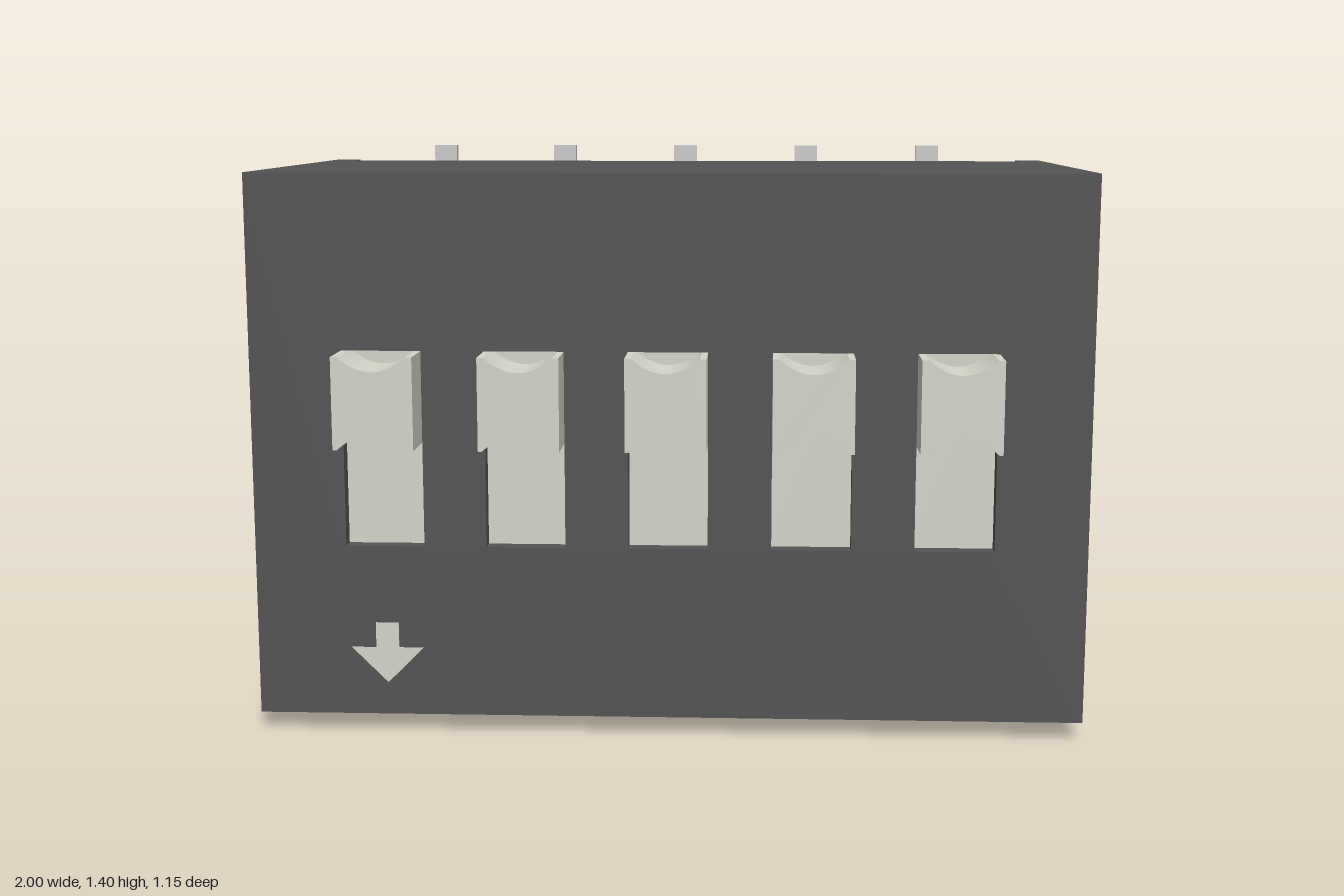
import * as THREE from 'three';

const mat = (color) => new THREE.MeshStandardMaterial({ color });

export function createModel() {
  const model = new THREE.Group();
  const dark = mat(0x545454), cream = mat(0xd6d5ca), metal = mat(0xcccccc);
  const columns = [-0.683, -0.342, 0, 0.342, 0.683];
  const yMin = 0.045, yMax = 1.36, yMid = 0.7025;
  const slotHalf = 0.095, slotLow = 0.465, slotHigh = 0.94;
  const zBack = -0.495, zFront = 0.458, zFloor = 0.415;

  const add = (name, geometry, material, x = 0, y = 0, z = 0, parent = model) => {
    const mesh = new THREE.Mesh(geometry, material);
    mesh.name = name;
    mesh.position.set(x, y, z);
    parent.add(mesh);
    return mesh;
  };
  const box = (w, h, d) => new THREE.BoxGeometry(w, h, d);
  const extrude = (shape, depth) =>
    new THREE.ExtrudeGeometry(shape, { depth, bevelEnabled: false, curveSegments: 20 });
  const polygon = (points) => new THREE.Shape(points.map(([x, y]) => new THREE.Vector2(x, y)));
  const rectangle = (x0, y0, x1, y1) => [[x0, y0], [x1, y0], [x1, y1], [x0, y1]];

  // Housing: solid core with a front plate pierced by the switch slots
  const housing = new THREE.Group();
  housing.name = 'housing';
  model.add(housing);
  add('core', box(2, yMax - yMin, zFloor - zBack), dark, 0, yMid, (zFloor + zBack) / 2, housing);
  const plate = polygon(rectangle(-1, yMin, 1, yMax));
  for (const x of columns) {
    plate.holes.push(polygon(rectangle(x - slotHalf, slotLow, x + slotHalf, slotHigh)));
  }
  add('frontPlate', extrude(plate, zFront - zFloor), dark, 0, 0, zFloor, housing);

  // Stand-off feet on the four back corners
  for (const x of [-0.9665, 0.9665]) {
    for (const y of [yMin + 0.1, yMax - 0.1]) {
      add('foot', box(0.067, 0.2, 0.08), dark, x, y, -0.525, housing);
    }
  }

  // Slider knob outline, scooped at top and bottom
  const knob = new THREE.Shape();
  knob.moveTo(-slotHalf, 0.72);
  knob.lineTo(-0.086, 0.72);
  knob.quadraticCurveTo(0, 0.796, 0.086, 0.72);
  knob.lineTo(slotHalf, 0.72);
  knob.lineTo(slotHalf, slotHigh);
  knob.lineTo(0.08, slotHigh);
  knob.quadraticCurveTo(0, 0.87, -0.08, slotHigh);
  knob.lineTo(-slotHalf, slotHigh);
  const knobGeometry = extrude(knob, 0.578 - zFloor);
  const floorGeometry = box(2 * slotHalf, slotHigh - slotLow, 0.01);

  // Pin side profile: out of the back, round a bend and down
  const profile = new THREE.Shape();
  profile.moveTo(0.45, 0.2);
  profile.lineTo(0.542, 0.2);
  profile.quadraticCurveTo(0.577, 0.2, 0.577, 0.165);
  profile.lineTo(0.577, 0);
  profile.lineTo(0.553, 0);
  profile.lineTo(0.553, 0.163);
  profile.quadraticCurveTo(0.553, 0.176, 0.54, 0.176);
  profile.lineTo(0.45, 0.176);
  const pinGeometry = extrude(profile, 0.063);
  pinGeometry.translate(0, 0, -0.0315);
  pinGeometry.rotateY(Math.PI / 2);

  // One slider and a pair of pins per column
  for (const x of columns) {
    const slider = new THREE.Group();
    slider.name = 'slider';
    model.add(slider);
    add('slotFloor', floorGeometry, cream, x, (slotLow + slotHigh) / 2, zFloor, slider);
    add('knob', knobGeometry, cream, x, 0, zFloor, slider);
    add('lowerPin', pinGeometry, metal, x);
    add('upperPin', pinGeometry, metal, x, 1.402).rotation.z = Math.PI;
  }

  // Direction arrow below the first slider
  const arrow = polygon([
    [0, 0.125], [0.088, 0.213], [0.028, 0.213], [0.028, 0.275],
    [-0.028, 0.275], [-0.028, 0.213], [-0.088, 0.213],
  ]);
  add('arrow', extrude(arrow, 0.004), cream, columns[0], 0, zFront - 0.002);

  return model;
}
